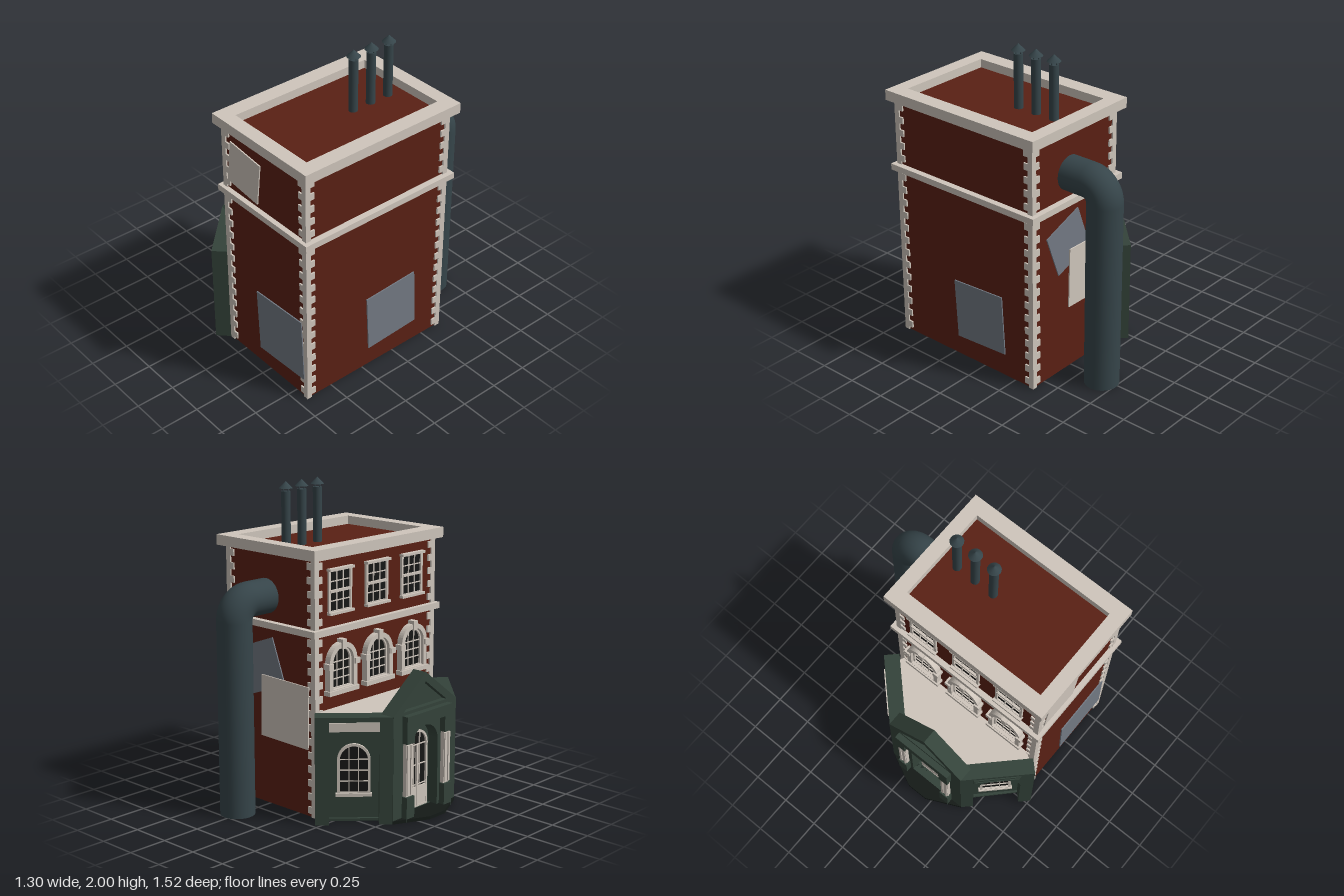
import * as THREE from 'three';

const mat = (color, side = THREE.FrontSide) => new THREE.MeshStandardMaterial({ color, side });
const brick = mat(0x5a2014), trim = mat(0xcfc6bc), green = mat(0x34433a), iron = mat(0x36454a);
const glass = mat(0x161716, THREE.DoubleSide), dark = mat(0x141a17), slate = mat(0x737a84);

function add(parent, name, geo, material, x = 0, y = 0, z = 0) {
  const m = new THREE.Mesh(geo, material);
  m.name = name;
  m.position.set(x, y, z);
  parent.add(m);
  return m;
}

// box given by its limits
function box(parent, name, material, x0, x1, y0, y1, z0, z1) {
  return add(parent, name, new THREE.BoxGeometry(x1 - x0, y1 - y0, z1 - z0), material,
    (x0 + x1) / 2, (y0 + y1) / 2, (z0 + z1) / 2);
}

const poly = (pts) => new THREE.Shape(pts.map(([x, y]) => new THREE.Vector2(x, y)));

// arched outline: half width r, straight sides up to the spring line
function arch(r, y0, spring) {
  const s = new THREE.Shape();
  s.moveTo(-r, y0).lineTo(r, y0).lineTo(r, spring);
  s.absarc(0, spring, r, 0, Math.PI, false);
  s.closePath();
  return s;
}

function extrude(shape, depth, ...holes) {
  shape.holes.push(...holes);
  return new THREE.ExtrudeGeometry(shape, { depth, bevelEnabled: false, curveSegments: 12 });
}

// floor-plan outline in (x, z) raised from y0 to y1
function plan(parent, name, material, pts, y0, y1, hole) {
  const g = extrude(poly(pts), y1 - y0, ...(hole ? [poly(hole)] : [])).rotateX(Math.PI / 2);
  return add(parent, name, g, material, 0, y1, 0);
}
const rect = (x0, x1, z0, z1) => [[x0, z0], [x1, z0], [x1, z1], [x0, z1]];

// group whose local +z looks out of a wall
function facing(parent, name, angle, x, y, z) {
  const g = new THREE.Group();
  g.name = name;
  g.rotation.y = angle;
  g.position.set(x, y, z);
  parent.add(g);
  return g;
}

// arched frame with glass and glazing bars
function archWindow(g, r, y0, spring, z, frame = 0.016) {
  const ri = r - frame;
  add(g, 'windowFrame', extrude(arch(r, y0, spring), 0.016, arch(ri, y0 + frame, spring)), trim, 0, 0, z);
  add(g, 'windowGlass', new THREE.ShapeGeometry(arch(ri, y0 + frame, spring)), glass, 0, 0, z + 0.003);
  for (const x of [-ri / 3, ri / 3])
    box(g, 'glazingBar', trim, x - 0.003, x + 0.003, y0, spring + Math.sqrt(ri * ri - x * x), z, z + 0.01);
  for (let i = 1; i <= 3; i++) {
    const y = y0 + frame + (spring - y0 - frame) * i / 3;
    box(g, 'glazingBar', trim, -ri, ri, y - 0.003, y + 0.003, z, z + 0.01);
  }
}

function sashWindow(g) {
  const frame = poly(rect(-0.1, 0.1, 1.25, 1.52));
  add(g, 'sashFrame', extrude(frame, 0.014, poly(rect(-0.083, 0.083, 1.267, 1.503))), trim);
  box(g, 'sashGlass', glass, -0.083, 0.083, 1.267, 1.503, 0, 0.003);
  for (const x of [-0.028, 0.028]) box(g, 'glazingBar', trim, x - 0.003, x + 0.003, 1.26, 1.51, 0, 0.01);
  for (const y of [1.326, 1.444]) box(g, 'glazingBar', trim, -0.09, 0.09, y - 0.003, y + 0.003, 0, 0.01);
  box(g, 'meetingRail', trim, -0.09, 0.09, 1.377, 1.393, 0, 0.018);
  for (const y of [1.245, 1.508]) box(g, 'sashLedge', trim, -0.105, 0.105, y, y + 0.016, 0, 0.032);
}

function hoodedWindow(g) {
  const r = 0.12, spring = 0.95;
  add(g, 'windowSurround', extrude(arch(r, 0.77, spring), 0.04, arch(0.09, 0.79, spring)), trim);
  archWindow(g, 0.09, 0.785, spring, 0.002, 0.01);
  box(g, 'windowSill', trim, -0.13, 0.13, 0.757, 0.785, 0, 0.05);
  box(g, 'keystone', trim, -0.018, 0.018, 1.03, 1.09, 0, 0.05);
  for (const s of [-1, 1]) box(g, 'impost', trim, s * 0.115 - 0.02, s * 0.115 + 0.02, 0.92, 0.955, 0, 0.05);
}

function sheet(parent, name, material, w, h, x, y, z, turn, tilt) {
  const g = facing(parent, name, turn, x, y, z);
  add(g, name + 'Panel', new THREE.BoxGeometry(w, h, 0.008), material).rotation.z = tilt;
}

export function createModel() {
  const root = new THREE.Group();
  root.name = 'brickBuilding';
  const cz = 0.14, left = -Math.PI / 2;

  // brick body, storey band and roof parapet
  box(root, 'brickBody', brick, -0.14, 0.6, 0, 1.6, -0.39, 0.68);
  box(root, 'storeyBand', trim, -0.175, 0.64, 1.13, 1.17, -0.43, 0.713);
  plan(root, 'parapet', trim, rect(-0.19, 0.65, -0.44, 0.72), 1.59, 1.655, rect(-0.085, 0.55, -0.35, 0.63));

  // toothed corner stones
  const quoin = (sx, sz, size, y0, y1) => {
    const x = sx < 0 ? -0.15 : 0.61 - size, z = sz < 0 ? -0.4 : 0.69 - size;
    box(root, 'cornerStone', trim, x, x + size, y0, y1, z, z + size);
  };
  for (const sx of [-1, 1]) for (const sz of [-1, 1])
    for (const [y0, y1, n] of [[0, 1.13, 13], [1.17, 1.59, 5]]) {
      quoin(sx, sz, 0.035, y0, y1);
      const pitch = (y1 - y0) / n;
      for (let i = 0; i < n; i++) quoin(sx, sz, 0.065, y0 + (i + 0.25) * pitch, y0 + (i + 0.75) * pitch);
    }

  // tilted sheets on the walls
  sheet(root, 'paleSheetFront', trim, 0.277, 0.281, 0.057, 1.358, 0.691, 0, -0.12);
  sheet(root, 'greySheetFront', slate, 0.42, 0.425, 0.363, 0.343, 0.691, 0, 0.05);
  sheet(root, 'greySheetSide', slate, 0.385, 0.388, 0.612, 0.341, 0.026, Math.PI / 2, 0.055);
  sheet(root, 'paleSheetBack', trim, 0.4, 0.39, 0.095, 0.63, -0.412, Math.PI, -0.02);
  sheet(root, 'greySheetBack', slate, 0.3, 0.3, 0.295, 0.88, -0.402, Math.PI, 0.36);

  // three roof flues with conical caps
  for (const z of [-0.245, -0.11, 0.025]) {
    const f = facing(root, 'flue', 0, 0.24, 0, z);
    add(f, 'flueShaft', new THREE.CylinderGeometry(0.028, 0.028, 0.35, 16), iron, 0, 1.765, 0);
    add(f, 'flueCap', new THREE.ConeGeometry(0.042, 0.042, 16), iron, 0, 1.979, 0);
    for (let i = 0; i < 4; i++) {
      const a = i * Math.PI / 2;
      add(f, 'capPost', new THREE.CylinderGeometry(0.004, 0.004, 0.03, 6), iron,
        0.02 * Math.cos(a), 1.948, 0.02 * Math.sin(a));
    }
  }

  // large duct leaving the back wall and turning down to the ground
  const R = 0.108, bend = 0.112;
  const duct = facing(root, 'duct', 0, 0.27, 0, 0);
  add(duct, 'ductDrop', new THREE.CylinderGeometry(R, R, 1.208, 28), iron, 0, 0.604, -0.652);
  add(duct, 'ductElbow', new THREE.TorusGeometry(bend, R, 28, 14, Math.PI / 2).rotateY(Math.PI / 2), iron, 0, 1.208, -0.54);
  add(duct, 'ductOutlet', new THREE.CylinderGeometry(R, R, 0.16, 28).rotateX(Math.PI / 2), iron, 0, 1.32, -0.46);

  // upper windows on the entrance side
  for (const dz of [-0.325, 0, 0.325]) {
    sashWindow(facing(root, 'sashWindow', left, -0.141, 0, cz + dz));
    hoodedWindow(facing(root, 'archedWindow', left, -0.14, 0, cz + dz));
  }

  // bay floor, flat roof and entrance step
  const bay = [[-0.14, -0.36], [-0.21, -0.4], [-0.5, -0.12], [-0.5, 0.4], [-0.21, 0.68], [-0.14, 0.64]];
  plan(root, 'bayFloor', green, bay, 0.004, 0.02);
  plan(root, 'bayRoof', trim, bay, 0.64, 0.664);
  plan(root, 'entranceStep', dark, [[-0.655, 0.07], [-0.655, 0.21], [-0.55, 0.43], [-0.5, 0.43], [-0.5, -0.15], [-0.55, -0.15]], 0, 0.02);

  // canted bay walls with deep arched recesses
  for (const s of [1, -1]) {
    const g = facing(root, 'cantedWall', s > 0 ? -Math.PI / 4 : -Math.PI * 0.75, -0.385, 0, cz + s * 0.4525);
    const wall = poly([[-0.233, 0], [-0.15, 0], [-0.15, 0.42],
      ...Array.from({ length: 15 }, (_, i) => {
        const a = Math.PI * (1 - (i + 1) / 16);
        return [0.15 * Math.cos(a), 0.42 + 0.15 * Math.sin(a)];
      }), [0.15, 0.42], [0.15, 0], [0.233, 0], [0.233, 0.67], [-0.233, 0.67]]);
    add(g, 'cantedWallShell', extrude(wall, 0.1), green, 0, 0, -0.1);
    box(g, 'recessBack', green, -0.16, 0.16, 0.02, 0.6, -0.098, -0.075);
    archWindow(g, 0.1, 0.17, 0.39, -0.074);
    box(g, 'windowSill', trim, -0.11, 0.11, 0.16, 0.18, -0.075, -0.05);
    const sign = poly(rect(-0.15, 0.15, 0.585, 0.64));
    if (s > 0) add(g, 'panelMoulding', extrude(sign, 0.006, poly(rect(-0.14, 0.14, 0.595, 0.63))), green);
    else box(g, 'palePanel', trim, -0.15, 0.15, 0.585, 0.64, 0, 0.008);
  }

  // gabled entrance wall with sunk pediment
  const g = facing(root, 'entrance', left, -0.55, 0, cz);
  const gable = poly([[-0.29, 0], [0.29, 0], [0.29, 0.67], [0, 0.89], [-0.29, 0.67]]);
  add(g, 'gableWall', extrude(gable, 0.1, poly([[-0.2, 0.68], [0.2, 0.68], [0, 0.832]]),
    arch(0.12, 0.02, 0.44)), green, 0, 0, -0.1);
  add(g, 'pedimentBack', extrude(poly([[-0.22, 0.67], [0.22, 0.67], [0, 0.85]]), 0.06), green, 0, 0, -0.095);
  box(g, 'doorRecess', green, -0.13, 0.13, 0.02, 0.58, -0.098, -0.075);

  // arched door
  archWindow(g, 0.095, 0.02, 0.42, -0.074, 0.014);
  box(g, 'doorPanel', trim, -0.085, 0.085, 0.03, 0.15, -0.074, -0.06);
  box(g, 'doorMeetingStile', trim, -0.007, 0.007, 0.03, 0.42, -0.074, -0.056);

  // pilasters carrying the entablature
  for (const x of [-0.175, 0.175]) {
    box(g, 'pilasterPlinth', green, x - 0.035, x + 0.035, 0, 0.155, 0, 0.04);
    box(g, 'pilasterShaft', trim, x - 0.027, x + 0.027, 0.155, 0.49, 0, 0.026);
    for (const d of [-0.016, 0.016]) box(g, 'shaftRib', trim, x + d - 0.008, x + d + 0.008, 0.165, 0.48, 0, 0.034);
    box(g, 'pilasterCap', green, x - 0.035, x + 0.035, 0.49, 0.6, 0, 0.04);
  }
  box(g, 'entablature', green, -0.21, 0.21, 0.59, 0.66, 0, 0.04);
  return root;
}
